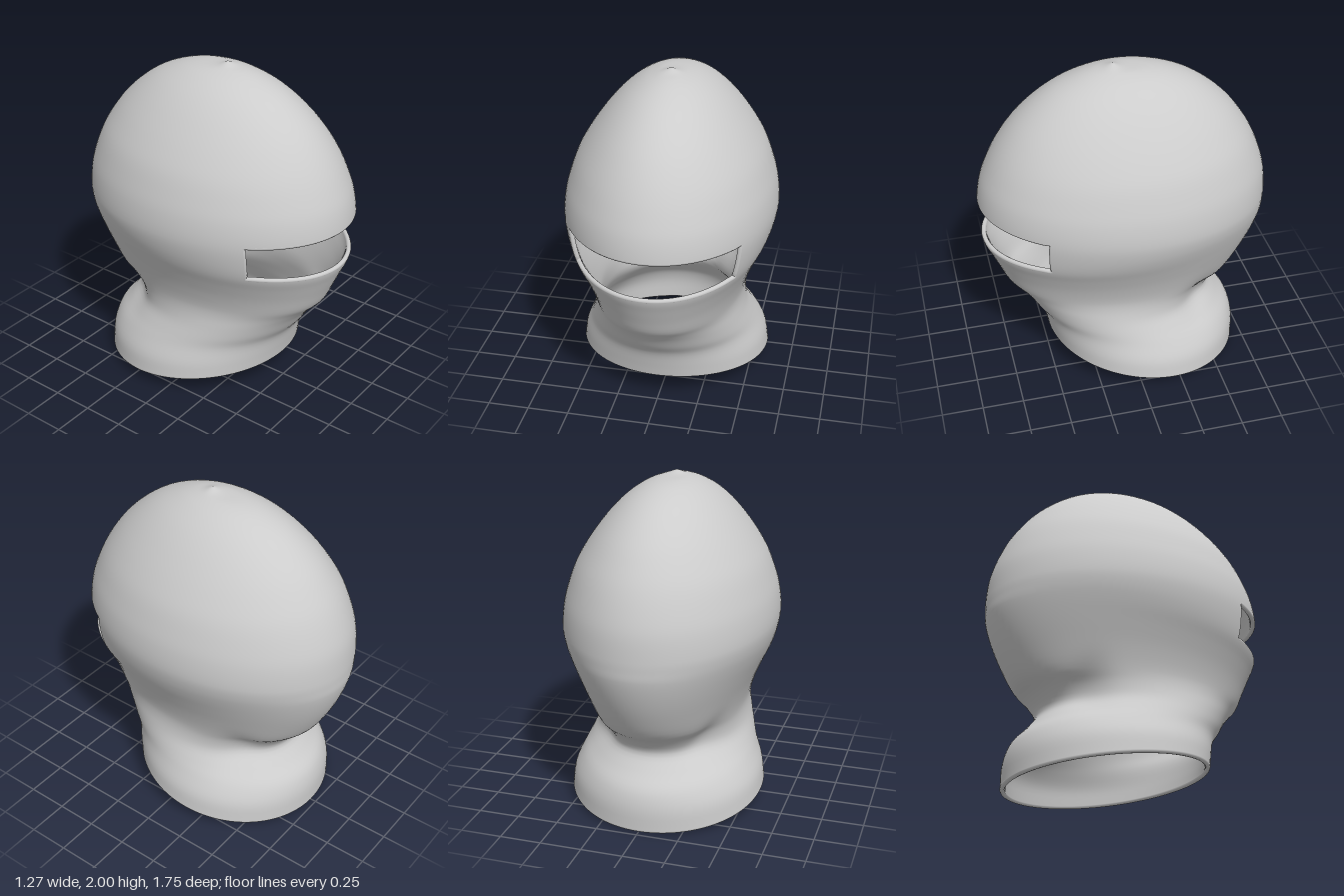
import * as THREE from 'three';

const COLS = 96, SUB = 4, WALL = 0.03;
const SLIT_COL = 14;               // half-width of the eye slit, in columns
const SLIT_LOW = 9, SLIT_HIGH = 11; // section rows bounding the eye slit

// Cross-sections, bottom to top: [frontY, frontZ, backY, backZ, halfWidth]
const SECTIONS = [
  [0.175, 0.49, 0.015, -0.72, 0.597],
  [0.25, 0.505, 0.15, -0.716, 0.58],
  [0.36, 0.535, 0.25, -0.684, 0.535],
  [0.44, 0.59, 0.34, -0.605, 0.5],
  [0.52, 0.64, 0.43, -0.546, 0.47],
  [0.58, 0.69, 0.52, -0.60, 0.457],
  [0.64, 0.745, 0.60, -0.695, 0.46],
  [0.74, 0.79, 0.74, -0.78, 0.495],
  [0.84, 0.833, 0.88, -0.84, 0.545],
  [0.926, 0.868, 1.0, -0.873, 0.592],
  [1.05, 0.88, 1.06, -0.876, 0.622],
  [1.18, 0.878, 1.12, -0.876, 0.636],
  [1.3, 0.857, 1.26, -0.863, 0.623],
  [1.4, 0.82, 1.38, -0.828, 0.592],
  [1.5, 0.772, 1.5, -0.776, 0.55],
  [1.6, 0.71, 1.6, -0.714, 0.493],
  [1.7, 0.63, 1.7, -0.636, 0.424],
  [1.8, 0.522, 1.8, -0.528, 0.342],
  [1.88, 0.405, 1.88, -0.41, 0.258],
  [1.94, 0.27, 1.94, -0.268, 0.168],
  [1.967, 0.18, 1.967, -0.15, 0.1],
  [1.98, 0.11, 1.98, 0.0, 0.055],
  [2.0, 0.056, 2.0, 0.056, 0],
];
const ROWS = (SECTIONS.length - 1) * SUB + 1;

// Point on one elliptical, tilted cross-section
function sectionPoint([yf, zf, yb, zb, hx], angle) {
  const c = Math.cos(angle);
  return new THREE.Vector3(
    hx * Math.sin(angle),
    (yf + yb) / 2 + (yf - yb) / 2 * c,
    (zf + zb) / 2 + (zf - zb) / 2 * c);
}

// Soft fold where the back of the head meets the neck on each side
function pressFold(p) {
  const d = ((p.z + 0.4) / 0.1) ** 2 + ((p.y - 0.49) / 0.13) ** 2;
  const push = 0.04 * Math.exp(-d);
  p.x -= Math.sign(p.x) * Math.min(push, Math.abs(p.x));
  return p;
}

const inSlit = (r, c) => r >= SLIT_LOW * SUB && r < SLIT_HIGH * SUB &&
  (c < SLIT_COL || c >= COLS - SLIT_COL);

function shellIndex(skipSlit, flip) {
  const index = [];
  for (let r = 0; r < ROWS - 1; r++) {
    for (let c = 0; c < COLS; c++) {
      if (skipSlit && inSlit(r, c)) continue;
      const n = (c + 1) % COLS;
      const a = r * COLS + c, b = r * COLS + n, d = a + COLS, e = b + COLS;
      if (flip) index.push(a, e, b, a, d, e);
      else index.push(a, b, e, a, e, d);
    }
  }
  return index;
}

// Outer skin: a smooth curve up every column
function outerGeometry() {
  const positions = new Float32Array(ROWS * COLS * 3);
  for (let c = 0; c < COLS; c++) {
    const angle = c / COLS * Math.PI * 2;
    const curve = new THREE.CatmullRomCurve3(SECTIONS.map(s => sectionPoint(s, angle)));
    for (let r = 0; r < ROWS; r++) {
      pressFold(curve.getPoint(r / (ROWS - 1))).toArray(positions, (r * COLS + c) * 3);
    }
  }
  const g = new THREE.BufferGeometry();
  g.setAttribute('position', new THREE.BufferAttribute(positions, 3));
  g.setIndex(shellIndex(false, false));
  g.computeVertexNormals();
  for (let c = 0; c < COLS; c++) g.attributes.normal.setXYZ((ROWS - 1) * COLS + c, 0, 1, 0);
  g.setIndex(shellIndex(true, false));
  return g;
}

// Skin moved inward along its normals and turned to face inside
function innerGeometry(outer) {
  const g = outer.clone();
  const p = g.attributes.position, n = g.attributes.normal;
  for (let i = 0; i < p.count; i++) {
    p.setXYZ(i, p.getX(i) - n.getX(i) * WALL, p.getY(i) - n.getY(i) * WALL, p.getZ(i) - n.getZ(i) * WALL);
    n.setXYZ(i, -n.getX(i), -n.getY(i), -n.getZ(i));
  }
  g.setIndex(shellIndex(true, true));
  return g;
}

// Rounded hem following grid points in the middle of the wall
function hemGeometry(outer, cells) {
  const { position, normal } = outer.attributes;
  const points = cells.map(([r, c]) => {
    const i = r * COLS + (c + COLS) % COLS;
    return new THREE.Vector3().fromBufferAttribute(position, i)
      .addScaledVector(new THREE.Vector3().fromBufferAttribute(normal, i), -WALL / 2);
  });
  const path = new THREE.CatmullRomCurve3(points, true);
  return new THREE.TubeGeometry(path, points.length * 2, WALL / 2, 10, true);
}

export function createModel() {
  const group = new THREE.Group();
  group.name = 'hood';
  const fabric = new THREE.MeshStandardMaterial({ color: 0xcccccc });
  fabric.name = 'grey fabric';
  const add = (name, geometry) => {
    const mesh = new THREE.Mesh(geometry, fabric);
    mesh.name = name;
    group.add(mesh);
  };

  const outer = outerGeometry();
  add('outerShell', outer);
  add('innerLining', innerGeometry(outer));

  // Neck opening
  const neck = [];
  for (let c = 0; c < COLS; c++) neck.push([0, c]);
  add('neckHem', hemGeometry(outer, neck));

  // Eye opening, walked once around its border
  const low = SLIT_LOW * SUB, high = SLIT_HIGH * SUB, eye = [];
  for (let c = -SLIT_COL; c < SLIT_COL; c++) eye.push([low, c]);
  for (let r = low; r < high; r++) eye.push([r, SLIT_COL]);
  for (let c = SLIT_COL; c > -SLIT_COL; c--) eye.push([high, c]);
  for (let r = high; r > low; r--) eye.push([r, -SLIT_COL]);
  add('eyeHem', hemGeometry(outer, eye));

  return group;
}
